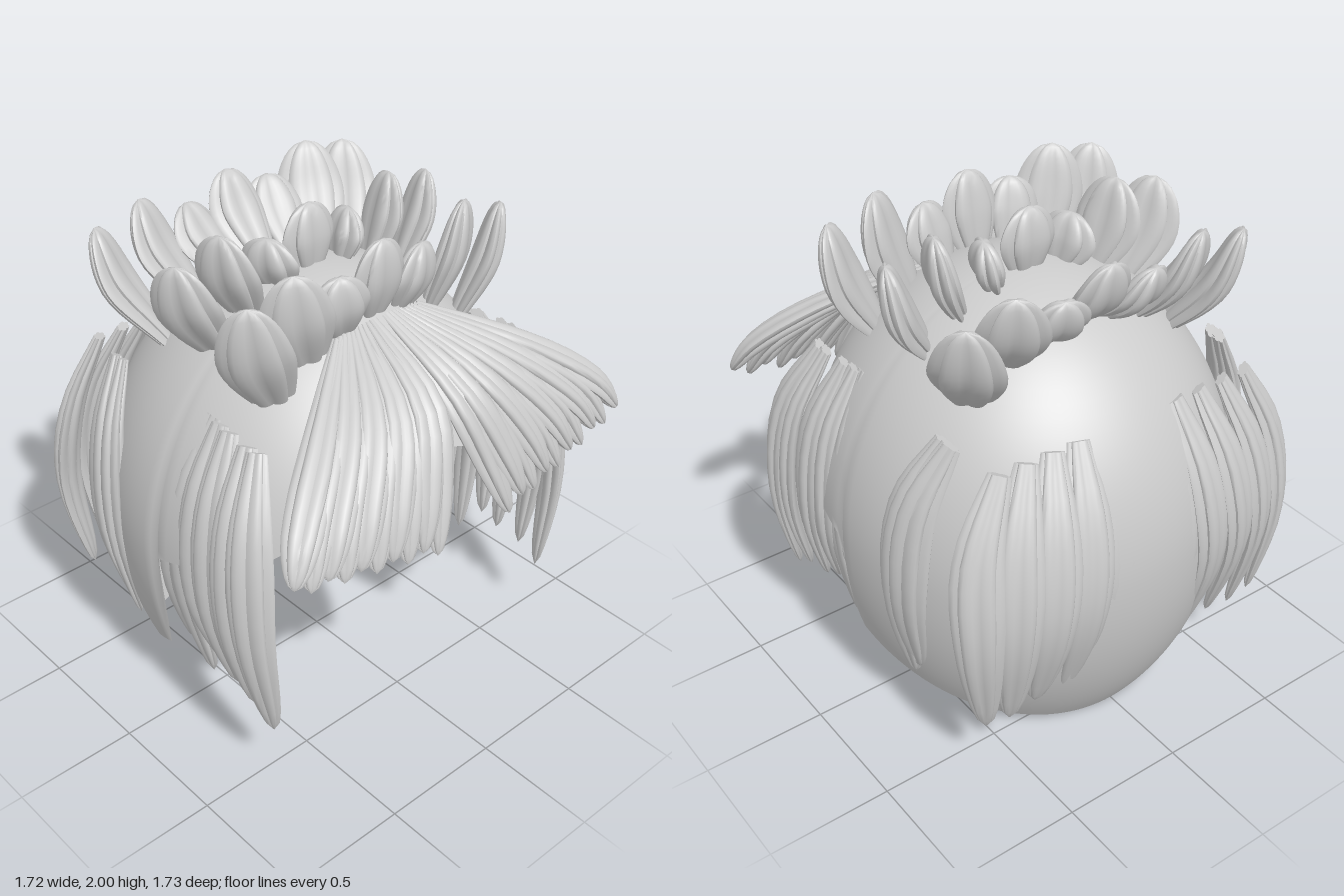
import * as THREE from 'three';
import { toCreasedNormals } from 'three/addons/utils/BufferGeometryUtils.js';

const V = (x, y, z) => new THREE.Vector3(x, y, z);
const lerp = THREE.MathUtils.lerp;
const material = new THREE.MeshStandardMaterial({ color: 0xcccccc });
const shellMaterial = new THREE.MeshStandardMaterial({ color: 0xcccccc, side: THREE.DoubleSide });

// Leaf-shaped lock with a six-lobed section, swept along a curve; "out" is its flat face
function lock(name, points, out, halfWidth, halfThick, root = 0.42) {
  const curve = new THREE.CatmullRomCurve3(points);
  const rings = 14, sides = 36, pos = [], idx = [];
  for (let i = 0; i <= rings; i++) {
    const t = 1 - Math.pow(1 - i / rings, 1.3);
    const p = curve.getPoint(t), T = curve.getTangent(t);
    const W = out.clone().cross(T).normalize();
    const N = T.clone().cross(W);
    const grow = root + (1 - root) * Math.sin(Math.min(1, t / 0.55) * Math.PI / 2);
    const f = grow * Math.sqrt(Math.max(0, 1 - Math.pow(Math.max(0, (t - 0.4) / 0.6), 2)));
    for (let j = 0; j < sides; j++) {
      const a = (j / sides) * Math.PI * 2;
      const r = f * (0.74 + 0.26 * Math.abs(Math.cos(3 * a)));
      const q = p.clone().addScaledVector(W, r * halfWidth * Math.cos(a)).addScaledVector(N, r * halfThick * Math.sin(a));
      pos.push(q.x, q.y, q.z);
    }
  }
  for (let i = 0; i < rings; i++) for (let j = 0; j < sides; j++) {
    const a = i * sides + j, b = i * sides + (j + 1) % sides;
    idx.push(a, b, b + sides);
    if (i < rings - 1) idx.push(a, b + sides, a + sides);
  }
  // flat root end
  const c = pos.length / 3;
  pos.push(points[0].x, points[0].y, points[0].z);
  for (let j = 0; j < sides; j++) idx.push(c, (j + 1) % sides, j);
  const g = new THREE.BufferGeometry();
  g.setAttribute('position', new THREE.Float32BufferAttribute(pos, 3));
  g.setIndex(idx);
  const mesh = new THREE.Mesh(toCreasedNormals(g, 0.75), material);
  mesh.name = name;
  return mesh;
}

// Egg-shaped cap: point at polar angle a and heading phi
const CY = 0.8, TOP = 0.95, LOW = 1.15;
const capPoint = (a, phi) => {
  const c = Math.cos(phi), r = Math.sin(a);
  return V(0.83 * r * Math.sin(phi), CY + (a < Math.PI / 2 ? TOP : LOW) * Math.cos(a), (c > 0 ? 0.84 : 0.86) * r * c);
};
const angleAt = y => Math.acos((y - CY) / (y > CY ? TOP : LOW));

// Lower edge of the cap: face opening in front, sloping neckline behind
const opening = [[0, 1.3], [40, 1.12], [55, 0.98], [65, 0.91], [89, 0.82]];
function edgeAngle(phi) {
  let d = THREE.MathUtils.radToDeg(phi);
  if (d > 180) d = 360 - d;
  if (d < 89) {
    const k = opening.findIndex(o => o[0] > d);
    const [a, b] = [opening[k - 1], opening[k]];
    return angleAt(lerp(a[1], b[1], (d - a[0]) / (b[0] - a[0])));
  }
  let y = 0.2;
  for (let i = 0; i < 25; i++) y = lerp(y, Math.max(0, 0.35 + capPoint(angleAt(y), phi).z * 0.565), 0.6);
  return angleAt(y);
}

function buildCap() {
  // stops short of the pole, so the last row of faces is whole
  const g = new THREE.SphereGeometry(1, 120, 36, 0, Math.PI * 2, 0, 3);
  const { position, uv } = g.attributes;
  for (let i = 0; i < position.count; i++) {
    const column = i % 121, row = Math.floor(i / 121);
    const phi = column / 120 * Math.PI * 2;
    const p = capPoint((1 - uv.getY(i)) * edgeAngle(phi), phi);
    position.setXYZ(i, row ? p.x : 0, p.y, row ? p.z : 0);
  }
  g.computeVertexNormals();
  const cap = new THREE.Mesh(g, shellMaterial);
  cap.name = 'scalpCap';
  return cap;
}

// Three rows of upright tufts; turns: how far each tuft faces sideways, from the middle out
function buildTufts() {
  const group = new THREE.Group();
  group.name = 'crownTufts';
  const rows = [
    { z: 0.29, tip: 0.34, turns: [0, 0.3, 0.55, 0.75], lean: 0, name: 'frontTuft' },
    { z: -0.04, tip: -0.05, turns: [0, 1.25, 1.25, 1.1], lean: 0, name: 'middleTuft' },
    { z: -0.32, tip: -0.53, turns: [0, 0.25, 0.5, 0.7], lean: 0.4, name: 'backTuft' },
  ];
  const heights = [1.98, 1.9, 1.98, 1.93];
  for (const row of rows) for (let i = -3; i <= 3; i++) {
    const k = Math.abs(i), s = Math.sign(i);
    const x = s * [0, 0.15, 0.31, 0.46][k];
    const tipX = s * [0, 0.2, 0.41, 0.61][k];
    const baseY = CY + TOP * Math.sqrt(1 - (x / 0.83) ** 2 - (row.z / 0.85) ** 2) - 0.03;
    const topY = heights[k] + (i === 2 && row.z > 0 ? 0.02 : 0) - row.lean * 0.07;
    const angle = s * row.turns[k];
    const out = V(Math.sin(angle), row.lean, (row.lean ? -1 : 1) * Math.cos(angle));
    const mid = V(lerp(x, tipX, 0.7), lerp(baseY, topY, 0.5), lerp(row.z, row.tip, 0.7));
    group.add(lock(row.name, [V(x, baseY, row.z), mid, V(tipX, topY, row.tip)], out, k > 1 ? 0.14 : 0.125, 0.06, 0.55));
  }
  return group;
}

// Parted bangs fanning from the crown over the forehead
function buildBangs() {
  const group = new THREE.Group();
  group.name = 'bangs';
  const n = 10;
  for (const s of [-1, 1]) for (let i = 0; i < n; i++) {
    const u = i / (n - 1), wave = (i % 2) * 0.03;
    const root = V(s * (0.03 + 0.16 * u), 1.66 - 0.02 * u, 0.33);
    const mid = V(s * lerp(0.06, 0.5, u), 1.47, lerp(0.66, 0.57, u) + wave * 0.5);
    const low = V(s * lerp(0.13, 0.74, u), lerp(1.22, 1.29, u), lerp(0.78, 0.74, u) + wave * 0.5);
    const tip = V(s * lerp(0.19, 0.83, u), lerp(0.99, 1.13, u) + wave, 0.86 - 0.04 * u);
    group.add(lock('bangLock', [root, mid, low, tip], V(s * 0.5 * u, 0.8, 0.7), 0.078, 0.05, 0.35));
  }
  return group;
}

// Hanging locks over the ears: root z, middle z, tip z, tip height, middle x
function buildSideLocks() {
  const group = new THREE.Group();
  group.name = 'sideLocks';
  const list = [
    [0.41, 0.56, 0.58, 0.28, 0.8], [0.36, 0.46, 0.48, 0.34, 0.8], [0.25, 0.33, 0.36, 0.36, 0.79], [0.19, 0.23, 0.28, 0.4, 0.78],
    [0.15, 0.13, 0.17, 0.27, 0.76], [0.13, 0.06, 0.06, 0.36, 0.76], [-0.4, -0.31, -0.28, 0.29, 0.78], [-0.44, -0.36, -0.31, 0.34, 0.78],
  ];
  for (const s of [-1, 1]) for (const [z0, z1, z2, y, x] of list) {
    const pts = [V(s * (x - 0.16), 1.41, z0), V(s * (x - 0.04), 1.15, lerp(z0, z1, 0.65)), V(s * x, 0.75, z1), V(s * (x - 0.07), y, z2)];
    group.add(lock('sideLock', pts, V(s, 0, z1), 0.095, 0.05));
  }
  return group;
}

// Row of long locks down the back, spreading outward
function buildBackLocks() {
  const group = new THREE.Group();
  group.name = 'backLocks';
  for (let i = -5; i <= 5; i++) {
    const u = i / 5, a = Math.abs(u), x = u * 0.56;
    const back = -0.775 - 0.045 * Math.sin(Math.PI * a) + 0.05 * a * a;
    const pts = [
      V(x, 1.38, -0.64), V(x * 1.22, 1.1, back + 0.04),
      V(x * lerp(1.42, 1.28, a), 0.75, back), V(x * lerp(1.47, 1.18, a), 0.27 + 0.02 * (i & 1), -0.68),
    ];
    group.add(lock('backLock', pts, V(u * 0.8, 0, -1), 0.102, 0.05));
  }
  return group;
}

export function createModel() {
  const model = new THREE.Group();
  model.name = 'hairstyle';
  model.add(buildCap(), buildTufts(), buildBangs(), buildSideLocks(), buildBackLocks());
  return model;
}
